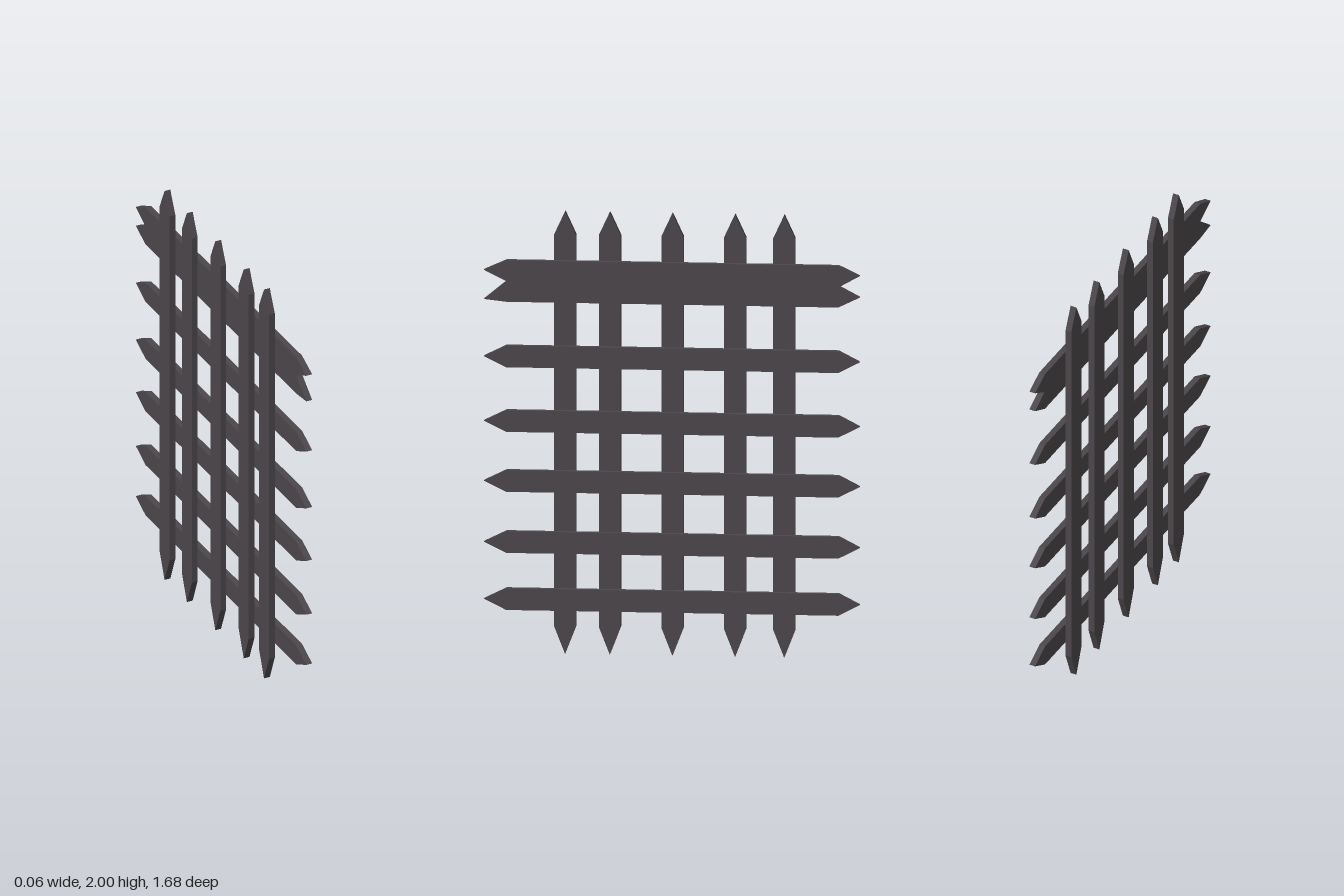
import * as THREE from 'three';

const THICK = 0.029;

// Cuts a flat board from a [z, y] outline, with its thickness running along x from x0
function board(name, outline, x0, material) {
  const shape = new THREE.Shape(outline.map(([z, y]) => new THREE.Vector2(-z, y)));
  const geometry = new THREE.ExtrudeGeometry(shape, { depth: THICK, bevelEnabled: false });
  geometry.rotateY(Math.PI / 2);
  geometry.translate(x0, 0, 0);
  const mesh = new THREE.Mesh(geometry, material);
  mesh.name = name;
  return mesh;
}

export function createModel() {
  const group = new THREE.Group();
  group.name = 'portcullis';
  const darkWood = new THREE.MeshStandardMaterial({ color: 0x4b464a });
  darkWood.name = 'darkWood';
  const h = 0.049; // half width of every slat

  // Upright stakes, pointed at both ends
  [0.48, 0.28, 0, -0.28, -0.5].forEach((z, i) => {
    group.add(board(`uprightStake${i + 1}`, [
      [z, 0], [z + h, 0.125], [z + h, 1.895], [z, 2], [z - h, 1.895], [z - h, 0.125],
    ], -THICK, darkWood));
  });

  // Narrow crossbars, pointed at both ends
  [1.345, 1.053, 0.782, 0.506, 0.248].forEach((y, i) => {
    group.add(board(`crossbar${i + 1}`, [
      [0.84, y], [0.74, y + h], [-0.745, y + h], [-0.84, y], [-0.745, y - h], [0.74, y - h],
    ], 0, darkWood));
  });

  // Wide top plank with notched ends
  group.add(board('topPlank', [
    [0.74, 1.78], [-0.745, 1.78], [-0.84, 1.735], [-0.75, 1.685], [-0.84, 1.638],
    [-0.745, 1.592], [0.74, 1.592], [0.84, 1.603], [0.74, 1.685], [0.84, 1.735],
  ], 0, darkWood));

  return group;
}
